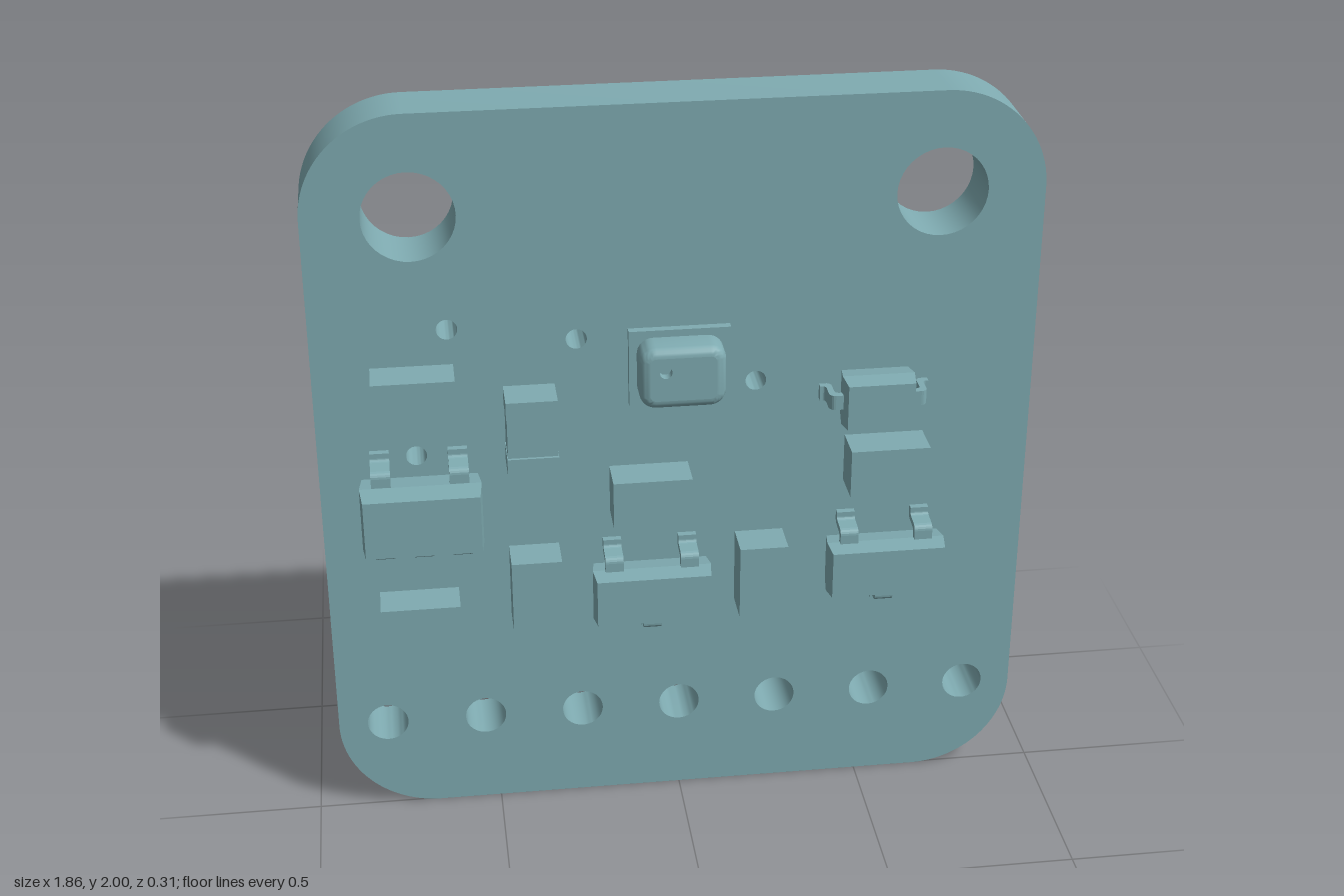
import * as THREE from 'three';
import { toCreasedNormals } from 'three/addons/utils/BufferGeometryUtils.js';

const FACE = 0.005; // z of the board's front surface
const BACK = -0.155;

export function createModel() {
  const model = new THREE.Group();
  const mat = new THREE.MeshStandardMaterial({ color: 0x7fabb1 });

  function add(parent, name, geo, x = 0, y = 0, z = 0) {
    const mesh = new THREE.Mesh(geo, mat);
    mesh.name = name;
    mesh.position.set(x, y, z);
    parent.add(mesh);
    return mesh;
  }

  // Corner points of a rounded rectangle, counter-clockwise, always 4 * (steps + 1) of them
  function roundedRing(w, h, r, steps) {
    const points = [];
    for (let q = 0; q < 4; q++) {
      const sx = q === 0 || q === 3 ? 1 : -1, sy = q < 2 ? 1 : -1;
      for (let j = 0; j <= steps; j++) {
        const a = (q + j / steps) * Math.PI / 2;
        points.push(new THREE.Vector2(
          sx * (w / 2 - r) + r * Math.cos(a), sy * (h / 2 - r) + r * Math.sin(a)));
      }
    }
    return points;
  }

  function punch(shape, x, y, r) {
    const hole = new THREE.Path();
    hole.absarc(x, y, r, 0, Math.PI * 2, true);
    shape.holes.push(hole);
  }

  // Board with mounting holes, header holes and vias
  const outline = new THREE.Shape(roundedRing(1.864, 2, 0.265, 24));
  for (const x of [-0.667, 0.667]) punch(outline, x, 0.735, 0.117);
  for (let i = -3; i <= 3; i++) punch(outline, i * 0.2665, -0.733, 0.055);
  for (const [x, y] of [[-0.587, 1.43], [-0.262, 1.385], [0.2, 1.24], [-0.68, 1.08]]) {
    punch(outline, x, y - 1, 0.027);
  }
  const board = new THREE.ExtrudeGeometry(outline, {
    depth: FACE - BACK, bevelEnabled: false, curveSegments: 20,
  });
  add(model, 'board', toCreasedNormals(board, 0.6), 0, 1, BACK);

  // Plain chip components: x, y, width, height
  const chips = [
    [-0.68, 1.27, 0.21, 0.128], [-0.08, 0.95, 0.206, 0.132],
    [0.543, 1.0, 0.208, 0.132], [-0.693, 0.614, 0.208, 0.132],
    [-0.386, 0.693, 0.132, 0.206], [0.214, 0.693, 0.128, 0.206],
  ];
  for (const [x, y, w, h] of chips) {
    add(model, 'chipComponent', new THREE.BoxGeometry(w, h, 0.102), x, y, FACE + 0.051);
  }

  // Chip with raised end terminals
  const capped = new THREE.Group();
  capped.name = 'cappedChip';
  capped.position.set(-0.386, 1.16, FACE);
  add(capped, 'chipBody', new THREE.BoxGeometry(0.128, 0.112, 0.092), 0, 0, 0.048);
  for (const s of [-1, 1]) {
    add(capped, 'chipTerminal', new THREE.BoxGeometry(0.132, 0.048, 0.102), 0, s * 0.08, 0.051);
  }
  model.add(capped);

  // Moulded body: widest at mid height, drafted towards both faces
  function mouldedBody(w, h, d) {
    const geo = new THREE.BoxGeometry(w, h, d, 1, 1, 2);
    const p = geo.attributes.position;
    for (let i = 0; i < p.count; i++) {
      if (Math.abs(p.getZ(i)) < 1e-6) continue;
      p.setX(i, p.getX(i) - Math.sign(p.getX(i)) * 0.007);
      p.setY(i, p.getY(i) - Math.sign(p.getY(i)) * 0.007);
    }
    const flat = geo.toNonIndexed();
    flat.computeVertexNormals();
    return flat;
  }

  // Gull-wing lead: starts inside the body, bends down to a foot; points along +y
  function leadGeometry(length, width, top) {
    const t = 0.018, a = length * 0.38, b = length * 0.62;
    const s = new THREE.Shape();
    s.moveTo(-0.03, top - t);
    s.lineTo(a - 0.012, top - t);
    s.quadraticCurveTo(a - 0.002, top - t, a, top - t - 0.01);
    s.lineTo(b - 0.012, 0.012);
    s.quadraticCurveTo(b - 0.01, 0, b + 0.004, 0);
    s.lineTo(length, 0);
    s.lineTo(length, t);
    s.lineTo(b + 0.012, t);
    s.quadraticCurveTo(b + 0.006, t, b + 0.004, t + 0.008);
    s.lineTo(a + 0.016, top - 0.014);
    s.quadraticCurveTo(a + 0.012, top, a, top);
    s.lineTo(-0.03, top);
    const geo = new THREE.ExtrudeGeometry(s, { depth: width, bevelEnabled: false, curveSegments: 4 });
    geo.translate(0, 0, -width / 2);
    geo.applyMatrix4(new THREE.Matrix4().makeBasis(
      new THREE.Vector3(0, 1, 0), new THREE.Vector3(0, 0, 1), new THREE.Vector3(1, 0, 0)));
    return geo;
  }

  // Package = moulded body plus leads given as [x, y, rotation]
  function leadedPackage(name, x, y, w, h, z0, z1, leads, length, width, top) {
    const g = new THREE.Group();
    g.name = name;
    g.position.set(x, y, 0);
    add(g, name + 'Body', mouldedBody(w, h, z1 - z0), 0, 0, (z0 + z1) / 2);
    const geo = leadGeometry(length, width, top);
    for (const [lx, ly, rot] of leads) {
      add(g, name + 'Lead', geo, lx, ly, FACE).rotation.z = rot;
    }
    model.add(g);
  }

  const U = 0, D = Math.PI;
  leadedPackage('regulator', -0.675, 0.947, 0.312, 0.175, 0.02, 0.153, [
    [-0.1, 0.087, U], [0.1, 0.087, U],
    [-0.1, -0.087, D], [0, -0.087, D], [0.1, -0.087, D],
  ], 0.067, 0.05, 0.08);
  for (const [x, y] of [[-0.08, 0.667], [0.547, 0.706]]) {
    leadedPackage('transistor', x, y, 0.315, 0.146, 0.018, 0.123, [
      [-0.1, 0.072, U], [0.1, 0.072, U], [0, -0.072, D],
    ], 0.065, 0.048, 0.075);
  }
  leadedPackage('diode', 0.509, 1.2, 0.188, 0.137, 0.018, 0.121, [
    [-0.093, 0, Math.PI / 2], [0.093, 0, -Math.PI / 2],
  ], 0.05, 0.04, 0.078);

  // Sensor: flat base with a rounded metal lid and a vent hole
  const sensor = new THREE.Group();
  sensor.name = 'sensor';
  sensor.position.set(0, 1.302, FACE);
  add(sensor, 'sensorBase', new THREE.BoxGeometry(0.262, 0.208, 0.022), 0, 0, 0.011);

  const W = 0.222, H = 0.17, R = 0.042, B = 0.026, TOP = 0.098, STEPS = 8;
  const profile = [[0, 0.02]]; // inset, z
  for (let i = 0; i <= 6; i++) {
    const a = i / 6 * Math.PI / 2;
    profile.push([B * (1 - Math.cos(a)), TOP - B + B * Math.sin(a)]);
  }
  const n = 4 * (STEPS + 1), verts = [], index = [];
  profile.forEach(([inset, z], k) => {
    roundedRing(W - 2 * inset, H - 2 * inset, R - inset, STEPS).forEach((p, i) => {
      verts.push(p.x, p.y, z);
      if (k === 0) return;
      const lower = (k - 1) * n, upper = k * n, j = (i + 1) % n;
      index.push(lower + i, lower + j, upper + j, lower + i, upper + j, upper + i);
    });
  });
  const lid = new THREE.BufferGeometry();
  lid.setAttribute('position', new THREE.Float32BufferAttribute(verts, 3));
  lid.setIndex(index);
  add(sensor, 'sensorLid', toCreasedNormals(lid, 0.7));

  const lidTop = new THREE.Shape(roundedRing(W - 2 * B, H - 2 * B, R - B, STEPS));
  punch(lidTop, -0.045, 0.02, 0.016);
  add(sensor, 'sensorLidTop', new THREE.ShapeGeometry(lidTop, 12), 0, 0, TOP);
  const vent = new THREE.CylinderGeometry(0.016, 0.016, 0.025, 24, 1, true).rotateX(Math.PI / 2);
  const wall = add(sensor, 'ventWall', vent, -0.045, 0.02, TOP - 0.0125);
  wall.material = mat.clone();
  wall.material.side = THREE.DoubleSide;
  add(sensor, 'ventFloor', new THREE.CircleGeometry(0.016, 24), -0.045, 0.02, TOP - 0.025);
  model.add(sensor);

  return model;
}
